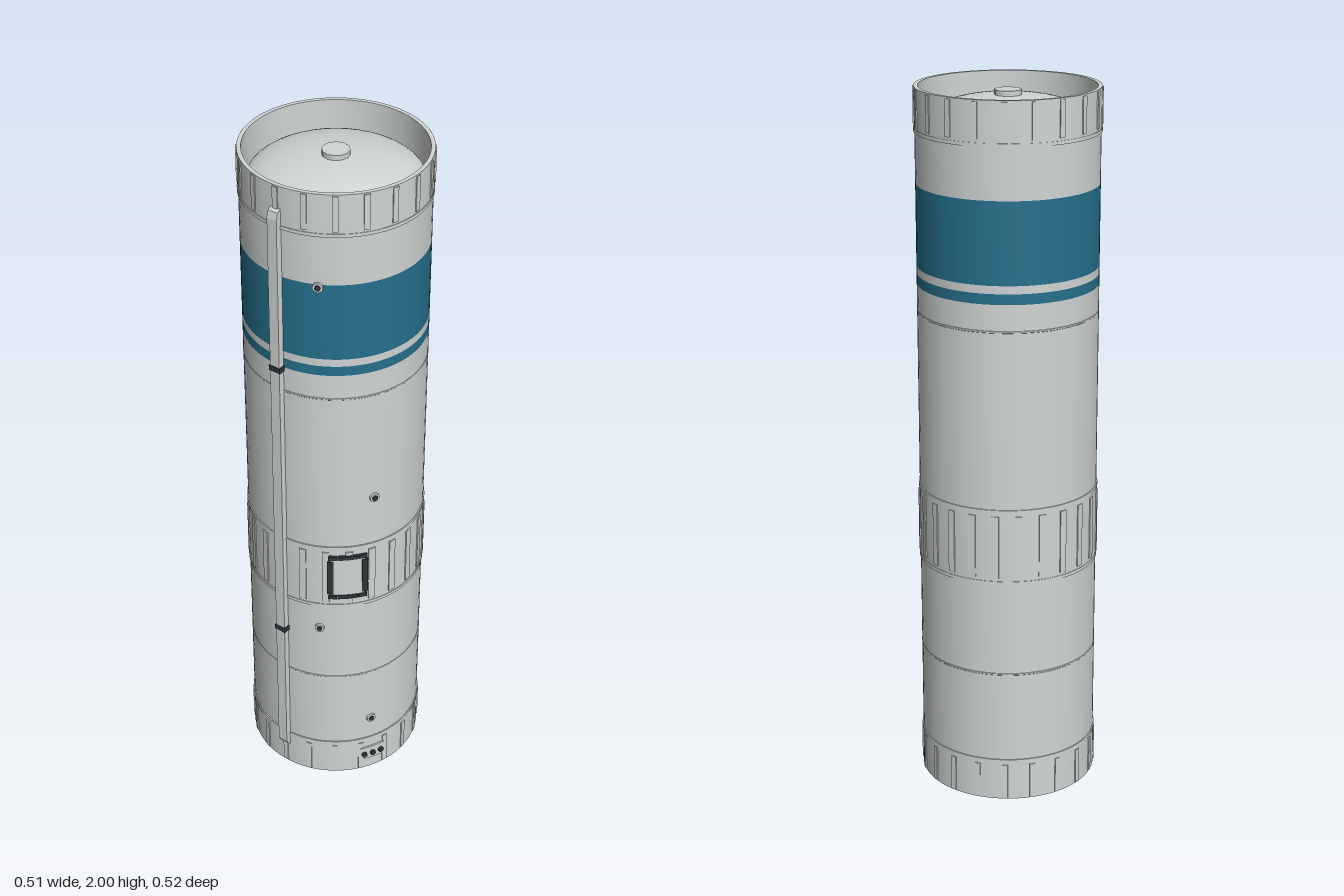
import * as THREE from 'three';
import { toCreasedNormals } from 'three/addons/utils/BufferGeometryUtils.js';

const mat = (name, color) => Object.assign(new THREE.MeshStandardMaterial({ color }), { name });
const rad = THREE.MathUtils.degToRad;

export function createModel() {
  const shellGrey = mat('shell grey', 0xd0d5d4);
  const bandBlue = mat('band blue', 0x25708c);
  const darkGrey = mat('dark grey', 0x30353a);

  const model = new THREE.Group();
  model.name = 'boosterStage';
  const stage = new THREE.Group();
  stage.name = 'stage';
  stage.position.z = -0.0075;
  model.add(stage);

  const R = 0.25, SKIRT = 0.2515;

  const add = (name, geometry, material, parent = stage) => {
    const mesh = new THREE.Mesh(geometry, material);
    mesh.name = name;
    parent.add(mesh);
    return mesh;
  };

  // Turned part from [radius, y] points, optionally limited to an arc in degrees
  const turned = (name, pts, material, from = 0, sweep = 360, segments = 72) => add(name,
    toCreasedNormals(new THREE.LatheGeometry(pts.map(p => new THREE.Vector2(...p)), segments, rad(from), rad(sweep)), 0.5),
    material);

  // Group standing on the hull at an angle from the front (towards +x), its +z pointing outwards
  const onHull = (name, angle, y, r = R) => {
    const g = new THREE.Group();
    g.name = name;
    g.position.set(r * Math.sin(rad(angle)), y, r * Math.cos(rad(angle)));
    g.rotation.y = rad(angle);
    stage.add(g);
    return g;
  };

  // Hull in painted sections
  const sections = [
    ['lowerHull', 0.1, 1.463, shellGrey], ['thinBand', 1.463, 1.492, bandBlue],
    ['bandGap', 1.492, 1.514, shellGrey], ['wideBand', 1.514, 1.74, bandBlue],
    ['upperHull', 1.74, 1.9, shellGrey],
  ];
  for (const [name, y0, y1, m] of sections) turned(name, [[R, y0], [R, y1]], m);

  // Weld seams
  for (const y of [0.392, 1.388]) {
    turned('weldSeam', [[R, y - 0.003], [R + 0.0008, y - 0.002], [R + 0.0008, y + 0.002], [R, y + 0.003]], shellGrey);
  }

  // Open end skirts with inner walls, and the raised middle collar
  turned('bottomSkirt', [[0.24, 0.16], [0.24, 0], [SKIRT, 0], [SKIRT, 0.115], [R, 0.115]], shellGrey);
  turned('topSkirt', [[R, 1.89], [SKIRT, 1.89], [SKIRT, 2], [0.24, 2], [0.24, 1.84]], shellGrey);
  turned('middleCollar', [[R, 0.675], [SKIRT, 0.675], [SKIRT, 0.875], [R, 0.875]], shellGrey);

  // Flange lips beside the skirts and collar
  for (const y of [0.12, 0.67, 0.88, 1.885]) {
    turned('flangeLip', [[R, y - 0.005], [0.253, y - 0.005], [0.253, y + 0.005], [R, y + 0.005]], shellGrey);
  }

  // Vertical stiffeners
  const stiffeners = (name, count, y0, y1, width) => {
    const geo = new THREE.BoxGeometry(width, y1 - y0, 0.006);
    for (let i = 0; i < count; i++) {
      add(name, geo, shellGrey, onHull(name + 'Mount', (i * 360) / count, (y0 + y1) / 2, 0.2512));
    }
  };
  stiffeners('bottomStiffener', 20, 0.004, 0.108, 0.016);
  stiffeners('middleStiffener', 24, 0.684, 0.866, 0.02);
  stiffeners('topStiffener', 20, 1.897, 1.996, 0.016);

  // Tank domes with a round boss, recessed inside both skirts
  const domeProfile = [];
  for (let i = 0; i <= 14; i++) {
    const t = (i / 14) * Math.PI / 2;
    domeProfile.push(new THREE.Vector2(0.234 * Math.cos(t), 0.075 * Math.sin(t)));
  }
  const dome = (name, y, flip, bossRadius) => {
    const g = new THREE.Group();
    g.name = name;
    g.position.y = y;
    if (flip) g.rotation.x = Math.PI;
    stage.add(g);
    add(name + 'Shell', new THREE.LatheGeometry(domeProfile, 40), shellGrey, g);
    add(name + 'Boss', new THREE.CylinderGeometry(bossRadius, bossRadius, 0.024, 12), shellGrey, g).position.y = 0.076;
  };
  dome('topDome', 1.9, false, 0.037);
  dome('bottomDome', 0.1, true, 0.03);

  // Cable raceway down the front, with sloped ends and dark straps
  const side = new THREE.Shape([[0.244, 0.07], [0.262, 0.085], [0.2675, 0.1], [0.2675, 1.91], [0.262, 1.93], [0.244, 1.942]]
    .map(p => new THREE.Vector2(...p)));
  const raceway = new THREE.ExtrudeGeometry(side, { depth: 0.03, bevelEnabled: false });
  raceway.translate(0, 0, -0.015).rotateY(-Math.PI / 2);
  add('raceway', raceway, shellGrey);
  for (const y of [0.55, 1.46]) {
    add('racewayStrap', new THREE.BoxGeometry(0.036, 0.016, 0.024), darkGrey).position.set(0, y, 0.2575);
  }

  // Access hatch with a broken dark frame
  turned('hatchPanel', [[SKIRT, 0.71], [0.2555, 0.71], [0.2555, 0.845], [SKIRT, 0.845]], shellGrey, 33, 22, 8);
  for (const s of [-1, 1]) {
    add('hatchSideBar', new THREE.BoxGeometry(0.017, 0.118, 0.009), darkGrey, onHull('hatchSideMount', 44 + s * 11, 0.777, 0.2535));
    for (const a of [-9.6, -3.2, 3.2, 9.6]) {
      const corner = Math.abs(a) > 5;
      add('hatchEdgeBar', new THREE.BoxGeometry(corner ? 0.024 : 0.029, 0.013, 0.009), darkGrey,
        onHull('hatchEdgeMount', 44 + a, 0.777 + s * 0.071, 0.2535));
    }
  }

  // Small round ports
  for (const [angle, y] of [[26, 1.733], [61, 1.045], [26, 0.583], [61, 0.205]]) {
    const port = onHull('port', angle, y);
    const disc = (name, r, depth, m) => {
      add(name, new THREE.CylinderGeometry(r, r, depth, 12).rotateX(Math.PI / 2), m, port).position.z = depth / 2 - 0.002;
    };
    disc('portRim', 0.014, 0.008, shellGrey);
    disc('portCentre', 0.008, 0.011, darkGrey);
  }

  // Connector plate with three sockets
  turned('connectorPlate', [[SKIRT, 0.04], [0.2565, 0.04], [0.2565, 0.086], [SKIRT, 0.086]], shellGrey, 53, 18, 8);
  for (const a of [56, 62, 68]) {
    const socket = new THREE.CylinderGeometry(0.0085, 0.0085, 0.014, 12).rotateX(Math.PI / 2);
    add('connectorSocket', socket, darkGrey, onHull('socketMount', a, 0.062, 0.257));
  }

  return model;
}
